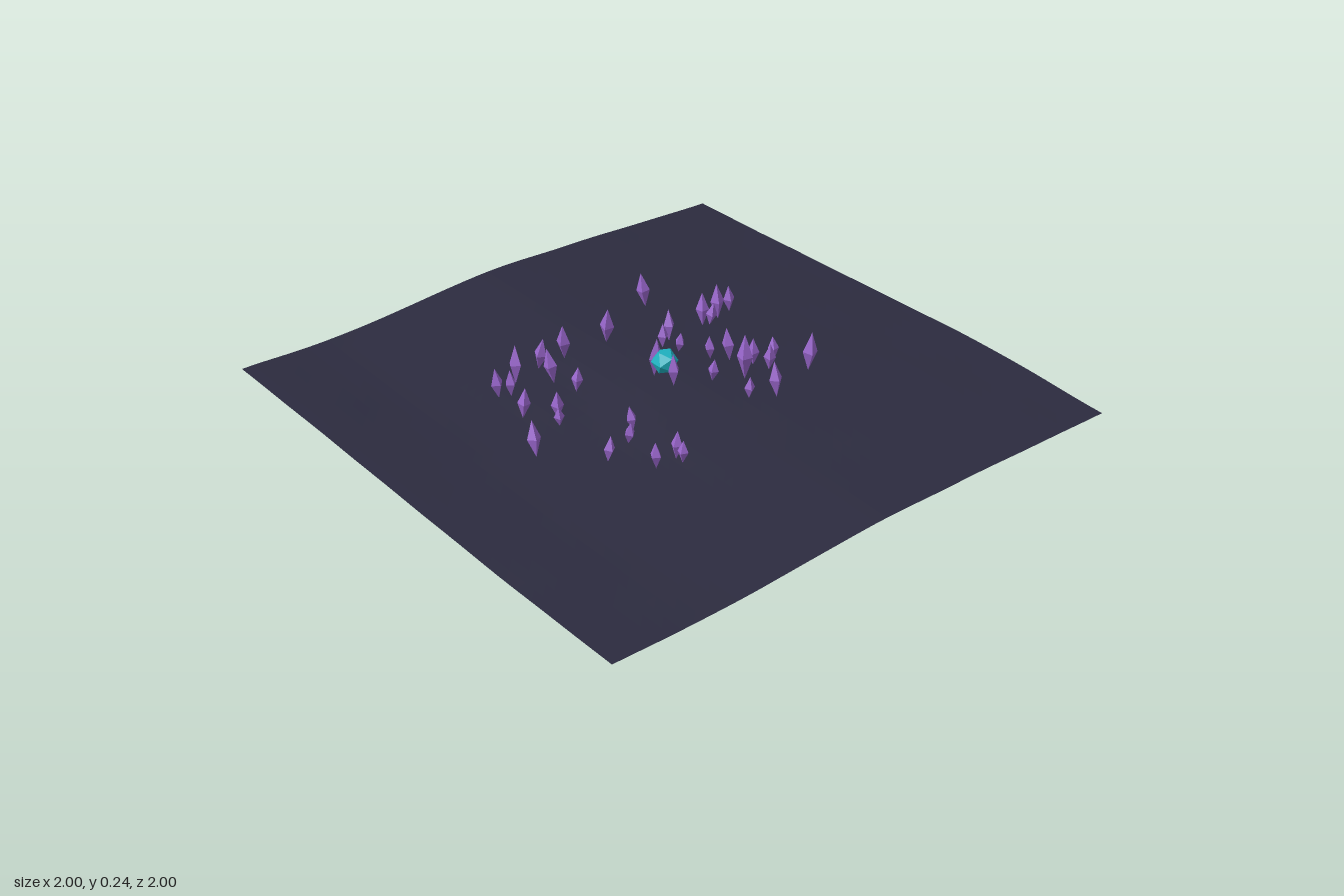
import * as THREE from 'three';

// Terrain control heights: rows run back to front, columns left edge to right edge
const HEIGHTS = [
  [0.035, 0.022, 0.036, 0.055, 0.042, 0.022, 0.003],
  [0.036, 0.018, 0.040, 0.063, 0.050, 0.034, 0.020],
  [0.030, 0.022, 0.044, 0.077, 0.070, 0.056, 0.042],
  [0.028, 0.028, 0.048, 0.070, 0.073, 0.069, 0.058],
  [0.035, 0.032, 0.044, 0.062, 0.060, 0.054, 0.047],
];

// Smooth interpolation through evenly spaced values, t in 0..1
function spline(values, t) {
  const n = values.length - 1;
  const i = Math.min(n - 1, Math.floor(t * n));
  const f = t * n - i;
  const at = (k) => values[Math.max(0, Math.min(n, k))];
  const [a, b, c, d] = [at(i - 1), at(i), at(i + 1), at(i + 2)];
  return b + 0.5 * f * (c - a + f * (2 * a - 5 * b + 4 * c - d + f * (3 * (b - c) + d - a)));
}

function groundHeight(x, z) {
  const u = THREE.MathUtils.clamp((x + 1) / 2, 0, 1);
  const v = THREE.MathUtils.clamp((z + 1) / 2, 0, 1);
  const ripple = 0.0012 * Math.sin(13 * x + 5 * z) * Math.cos(11 * z - 4 * x);
  return Math.max(0, spline(HEIGHTS.map((row) => spline(row, u)), v) + ripple);
}

// Each crystal: x, z, height of its tip
const CRYSTALS = [
  [-0.45, -0.31, 0.155], [-0.41, -0.29, 0.14], [-0.35, -0.345, 0.18], [-0.25, -0.34, 0.18],
  [-0.16, -0.335, 0.2], [-0.27, -0.26, 0.18], [-0.24, -0.155, 0.15], [-0.45, -0.16, 0.15],
  [-0.38, -0.075, 0.155], [-0.4, -0.04, 0.12], [-0.55, 0.03, 0.16], [-0.4, 0.22, 0.14],
  [-0.3, 0.195, 0.14], [-0.25, 0.14, 0.15], [-0.32, 0.35, 0.15], [-0.24, 0.355, 0.16],
  [-0.24, 0.385, 0.14], [0, -0.305, 0.22], [0.27, -0.45, 0.19], [0.34, -0.215, 0.19],
  [0.36, -0.19, 0.16], [0.41, -0.22, 0.2], [0.475, -0.235, 0.165], [0.13, -0.17, 0.17],
  [0.18, -0.2, 0.19], [0.15, -0.105, 0.16], [0.2, -0.01, 0.17], [0.245, 0.03, 0.2],
  [0.115, 0.11, 0.17], [0.21, 0.155, 0.245], [0.29, 0.105, 0.18], [0.31, 0.165, 0.18],
  [0.37, 0.115, 0.16], [0.41, 0.25, 0.225], [0.14, 0.26, 0.165], [0.215, 0.3, 0.21],
  [-0.01, -0.035, 0.23], [0, 0.045, 0.2],
];

export function createModel() {
  const model = new THREE.Group();
  const flat = (name, color, extra = {}) =>
    Object.assign(new THREE.MeshStandardMaterial({ color, flatShading: true, ...extra }), { name });
  const stone = flat('dark slate', 0x2c2b3f, { side: THREE.DoubleSide });
  const violet = flat('violet crystal', 0x9966cc);
  const teal = flat('teal core', 0x1fb3c2);

  // Rolling ground sheet
  const groundGeometry = new THREE.PlaneGeometry(2, 2, 48, 48).rotateX(-Math.PI / 2);
  const p = groundGeometry.attributes.position;
  for (let i = 0; i < p.count; i++) p.setY(i, groundHeight(p.getX(i), p.getZ(i)));
  groundGeometry.computeVertexNormals();
  const ground = new THREE.Mesh(groundGeometry, stone);
  ground.name = 'ground';
  model.add(ground);

  // Slender double-pointed crystals standing on the ground
  const crystals = new THREE.Group();
  crystals.name = 'crystals';
  const crystalGeometry = new THREE.OctahedronGeometry(1);
  CRYSTALS.forEach(([x, z, top], i) => {
    const bottom = groundHeight(x, z) + 0.006;
    const half = (top - bottom) / 2;
    const radius = 0.01 + half * 0.21;
    const crystal = new THREE.Mesh(crystalGeometry, violet);
    crystal.name = 'crystal';
    crystal.position.set(x, bottom + half, z);
    crystal.scale.set(radius, half, radius);
    crystal.rotation.set(0.12 * Math.sin(i * 2.3), i * 1.7, 0.12 * Math.cos(i * 3.1));
    crystals.add(crystal);
  });
  model.add(crystals);

  // Faceted core floating at the centre
  const core = new THREE.Mesh(new THREE.IcosahedronGeometry(0.045, 0), teal);
  core.name = 'core';
  core.position.set(0, 0.155, 0);
  model.add(core);

  return model;
}
